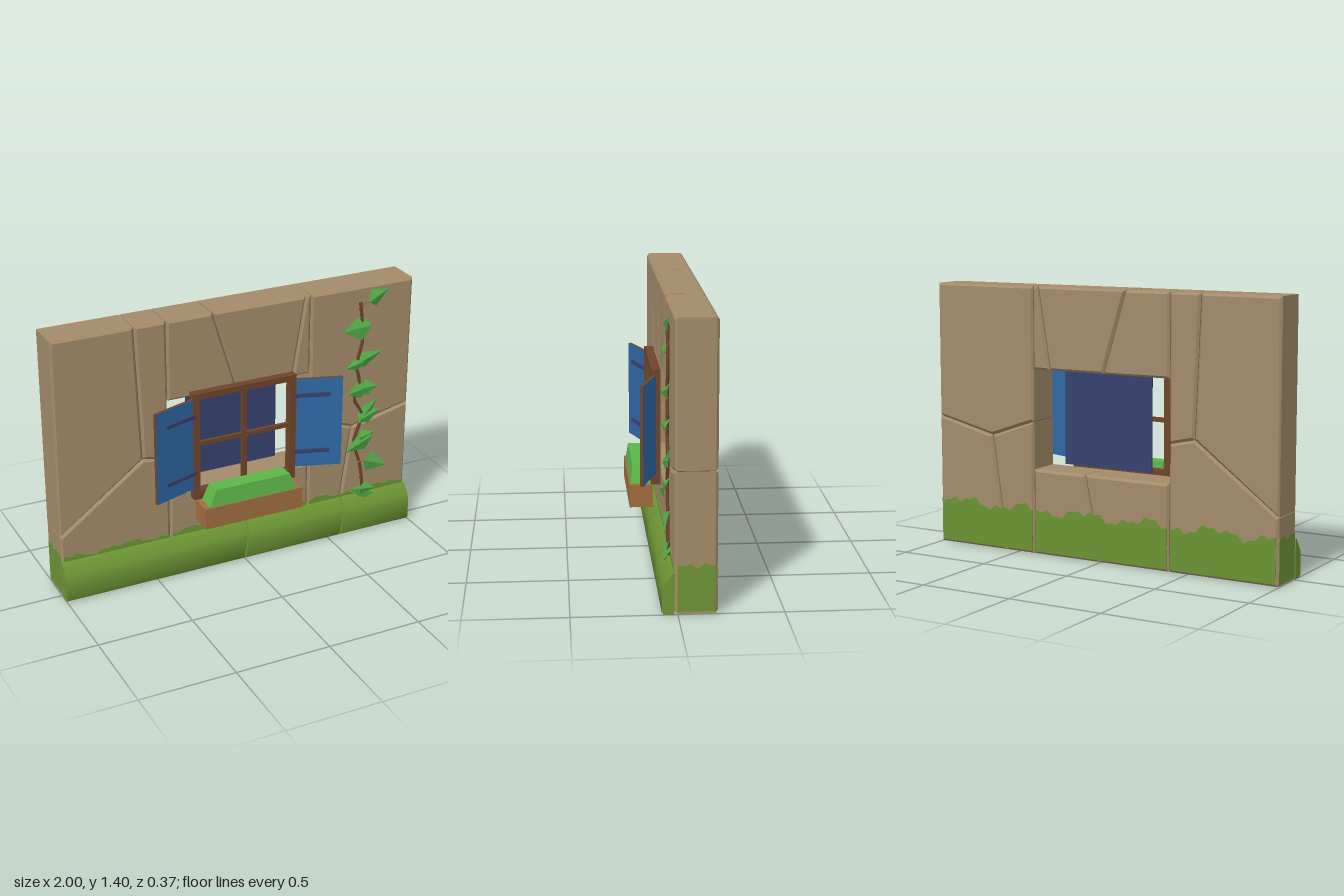
import * as THREE from 'three';
import { toCreasedNormals } from 'three/addons/utils/BufferGeometryUtils.js';

const mat = (name, color, side = THREE.FrontSide) => {
  const m = new THREE.MeshStandardMaterial({ color, side });
  m.name = name;
  return m;
};

export function createModel() {
  const stone = mat('stone', 0xa38b6a);
  const mortar = mat('mortar', 0x6e5c45);
  const moss = mat('moss', 0x6b9433);
  const darkWood = mat('darkWood', 0x6e452a);
  const lightWood = mat('lightWood', 0xa06d40);
  const blue = mat('shutterBlue', 0x2f68a6);
  const navy = mat('glassNavy', 0x36426e);
  const foliage = mat('foliage', 0x5cb548);
  const leafGreen = mat('leafGreen', 0x4ea545, THREE.DoubleSide);

  const root = new THREE.Group();
  const add = (name, geo, material, parent = root) => {
    const m = new THREE.Mesh(geo, material);
    m.name = name;
    parent.add(m);
    return m;
  };
  // box given by its minimum and maximum corners
  const box = (name, a, b, material, parent) => {
    const m = add(name, new THREE.BoxGeometry(b[0] - a[0], b[1] - a[1], b[2] - a[2]), material, parent);
    m.position.set((a[0] + b[0]) / 2, (a[1] + b[1]) / 2, (a[2] + b[2]) / 2);
    return m;
  };
  const polygon = (pts) => new THREE.Shape(pts.map((p) => new THREE.Vector2(p[0], p[1])));

  // wall: bevelled stone slabs around the window opening
  const BACK = -0.185, FRONT = 0.015, BEVEL = 0.012;
  const slabs = [
    [[-1, 0.34], [-0.54, 0.68], [-0.57, 1.4], [-1, 1.4]],
    [[-0.57, 1.4], [-0.54, 0.68], [-0.4, 0.65], [-0.4, 1.4]],
    [[-1, 0], [-0.4, 0], [-0.4, 0.65], [-0.54, 0.68], [-1, 0.34]],
    [[0.4, 0.7], [0.66, 0.61], [1, 0.69], [1, 1.4], [0.4, 1.4]],
    [[0.4, 0], [0.575, 0], [0.66, 0.61], [0.4, 0.7]],
    [[0.575, 0], [1, 0], [1, 0.69], [0.66, 0.61]],
    [[-0.4, 0.97], [-0.02, 0.97], [-0.15, 1.4], [-0.4, 1.4]],
    [[-0.02, 0.97], [0.3, 0.97], [0.37, 1.4], [-0.15, 1.4]],
    [[0.3, 0.97], [0.4, 0.97], [0.4, 1.4], [0.37, 1.4]],
    [[-0.4, 0], [0, 0], [0.09, 0.45], [-0.4, 0.45]],
    [[0, 0], [0.4, 0], [0.4, 0.45], [0.09, 0.45]],
  ];
  const wall = new THREE.Group();
  wall.name = 'wall';
  root.add(wall);
  for (const pts of slabs) {
    const geo = new THREE.ExtrudeGeometry(polygon(pts), {
      depth: FRONT - BACK - 2 * BEVEL, bevelEnabled: true, bevelSegments: 1,
      bevelSize: BEVEL, bevelThickness: BEVEL, bevelOffset: -BEVEL - 0.002,
    });
    add('stoneSlab', geo.translate(0, 0, BACK + BEVEL), stone, wall);
  }
  // mortar core seen only in the joints
  for (const [x0, y0, x1, y1] of [[-0.985, 0.015, -0.415, 1.385], [0.415, 0.015, 0.985, 1.385],
    [-0.415, 0.985, 0.415, 1.385], [-0.415, 0.015, 0.415, 0.435]]) {
    box('mortarCore', [x0, y0, BACK + 0.015], [x1, y1, FRONT - 0.015], mortar, wall);
  }

  // plinth: mossy footing in three pieces with slanted joints
  const profile = polygon([[-0.015, 0], [-0.065, 0], [-0.075, 0.012], [-0.075, 0.12],
    [-0.062, 0.15], [-0.025, 0.2], [-0.015, 0.203]]);
  for (const [x0, s0, x1, s1] of [[-1, 0, -0.004, 0.15], [0.004, 0.15, 0.571, 0.13], [0.579, 0.13, 1, 0]]) {
    const geo = new THREE.ExtrudeGeometry(profile, { depth: x1 - x0, bevelEnabled: false });
    geo.rotateY(Math.PI / 2).translate(x0, 0, 0);
    const p = geo.attributes.position;
    for (let i = 0; i < p.count; i++) {
      const s = p.getX(i) < (x0 + x1) / 2 ? s0 : s1;
      p.setX(i, p.getX(i) + s * p.getY(i));
    }
    add('plinth', toCreasedNormals(geo, 0.75), moss);
  }

  // moss: thin plates with a ragged top edge
  const ragged = (t) => 0.018 * Math.sin(t * 17) + 0.012 * Math.sin(t * 41 + 1) + 0.008 * Math.sin(t * 97 + 2);
  const mossPlate = (a, b, low, high, amp) => {
    const pts = [[a, low], [b, low]];
    const n = Math.ceil((b - a) / 0.015);
    for (let i = n; i >= 0; i--) {
      const t = a + ((b - a) * i) / n;
      pts.push([t, high + amp * ragged(t)]);
    }
    return new THREE.ExtrudeGeometry(polygon(pts), { depth: 0.005, bevelEnabled: false });
  };
  for (const [a, b] of [[-0.985, -0.41], [-0.39, 0.39], [0.41, 0.985]]) {
    add('mossFront', mossPlate(a, b, 0.17, 0.225, 0.5).translate(0, 0, FRONT - 0.002), moss);
    add('mossBack', mossPlate(a, b, 0.014, 0.235, 1).translate(0, 0, BACK - 0.003), moss);
  }
  for (const s of [-1, 1]) {
    const geo = mossPlate(-0.003, 0.173, 0.014, 0.225, 1).rotateY(Math.PI / 2);
    add('mossEnd', geo.translate(s > 0 ? 0.995 : -1, 0, 0), moss);
  }

  // window: wooden frame, cross bars and pane
  const windowGroup = new THREE.Group();
  windowGroup.name = 'window';
  root.add(windowGroup);
  for (const s of [-1, 1]) {
    const m = box('framePost', [-0.018, 0.42, 0.03], [0.018, 0.98, 0.075], darkWood, windowGroup);
    m.position.x = s * 0.272;
  }
  box('frameTop', [-0.29, 0.977, 0.03], [0.29, 1.01, 0.075], darkWood, windowGroup);
  box('frameBottom', [-0.28, 0.42, 0.03], [0.28, 0.47, 0.078], darkWood, windowGroup);
  box('verticalBar', [-0.013, 0.46, 0.045], [0.013, 0.98, 0.065], darkWood, windowGroup);
  box('horizontalBar', [-0.256, 0.715, 0.045], [0.256, 0.738, 0.063], darkWood, windowGroup);
  box('pane', [-0.256, 0.478, -0.1], [0.256, 0.98, -0.092], navy, windowGroup);

  // shutters: blue faces, wooden edges, two straps each
  for (const s of [-1, 1]) {
    const shutter = new THREE.Group();
    shutter.name = s > 0 ? 'leftShutter' : 'rightShutter';
    shutter.position.set(s * 0.283, 0.73, 0.058);
    shutter.rotation.y = -s * 0.32;
    root.add(shutter);
    const panel = add('shutterPanel', new THREE.BoxGeometry(0.255, 0.5, 0.016),
      [darkWood, darkWood, darkWood, darkWood, blue, blue], shutter);
    panel.position.x = s * 0.1275;
    for (const y of [-0.16, 0.16]) {
      const strap = add('strap', new THREE.BoxGeometry(0.19, 0.02, 0.014), navy, shutter);
      strap.position.set(s * 0.095, y, 0.012);
    }
  }

  // planter with a tapered hedge
  box('planter', [-0.278, 0.3, 0.066], [0.278, 0.415, 0.185], lightWood);
  const hedge = new THREE.BoxGeometry(0.5, 0.09, 0.105).translate(0, 0.457, 0.126);
  const hp = hedge.attributes.position;
  for (let i = 0; i < hp.count; i++) {
    if (hp.getY(i) > 0.46) hp.setXYZ(i, hp.getX(i) * 0.84, hp.getY(i), 0.124 + (hp.getZ(i) - 0.126) * 0.82);
  }
  hedge.computeVertexNormals();
  add('hedge', hedge, foliage);

  // climbing vine: stem, twigs and folded leaves
  const vine = new THREE.Group();
  vine.name = 'vine';
  root.add(vine);
  const tube = (name, pts, r, material) => add(name, new THREE.TubeGeometry(
    new THREE.CatmullRomCurve3(pts.map((p) => new THREE.Vector3(...p))), pts.length * 3, r, 5), material, vine);
  tube('stem', [[0.68, 1.32], [0.695, 1.2], [0.7, 1.1], [0.67, 0.97], [0.69, 0.86], [0.66, 0.78], [0.71, 0.68],
    [0.67, 0.52], [0.71, 0.38], [0.735, 0.2]].map(([x, y]) => [x, y, 0.025]), 0.009, darkWood);

  const leafGeometry = (l, w) => {
    const b = [0, 0, 0], t = [l, 0, -0.005], u = [l * 0.35, w, -0.022], d = [l * 0.25, -w, -0.022];
    const g = new THREE.BufferGeometry();
    g.setAttribute('position', new THREE.Float32BufferAttribute([...b, ...d, ...t, ...b, ...t, ...u], 3));
    g.computeVertexNormals();
    return g;
  };
  // base x, base y, direction, length, half width
  const leaves = [
    [0.72, 1.32, 0.42, 0.135, 0.045], [0.74, 1.19, 3.2, 0.17, 0.065], [0.66, 0.985, 0.3, 0.165, 0.04],
    [0.7, 0.99, 3.3, 0.11, 0.03], [0.73, 0.84, 3.3, 0.125, 0.05], [0.7, 0.84, 0, 0.09, 0.045],
    [0.68, 0.64, 0.75, 0.17, 0.045], [0.7, 0.66, 0.3, 0.12, 0.04], [0.77, 0.55, 3.5, 0.18, 0.05],
    [0.69, 0.55, 0.2, 0.1, 0.035], [0.72, 0.41, -0.35, 0.15, 0.055], [0.79, 0.2, 2.8, 0.15, 0.045],
    [0.7, 0.24, -0.1, 0.1, 0.04],
  ];
  leaves.forEach(([x, y, angle, l, w], i) => {
    const leaf = add('leaf', leafGeometry(l, w), leafGreen, vine);
    leaf.position.set(x, y, 0.05);
    leaf.rotation.set(i % 2 ? -0.35 : -0.2, 0, angle);
    tube('twig', [[0.69, y - 0.03, 0.025], [(0.69 + x) / 2, y - 0.005, 0.035], [x, y, 0.045]], 0.004, lightWood);
  });

  return root;
}
